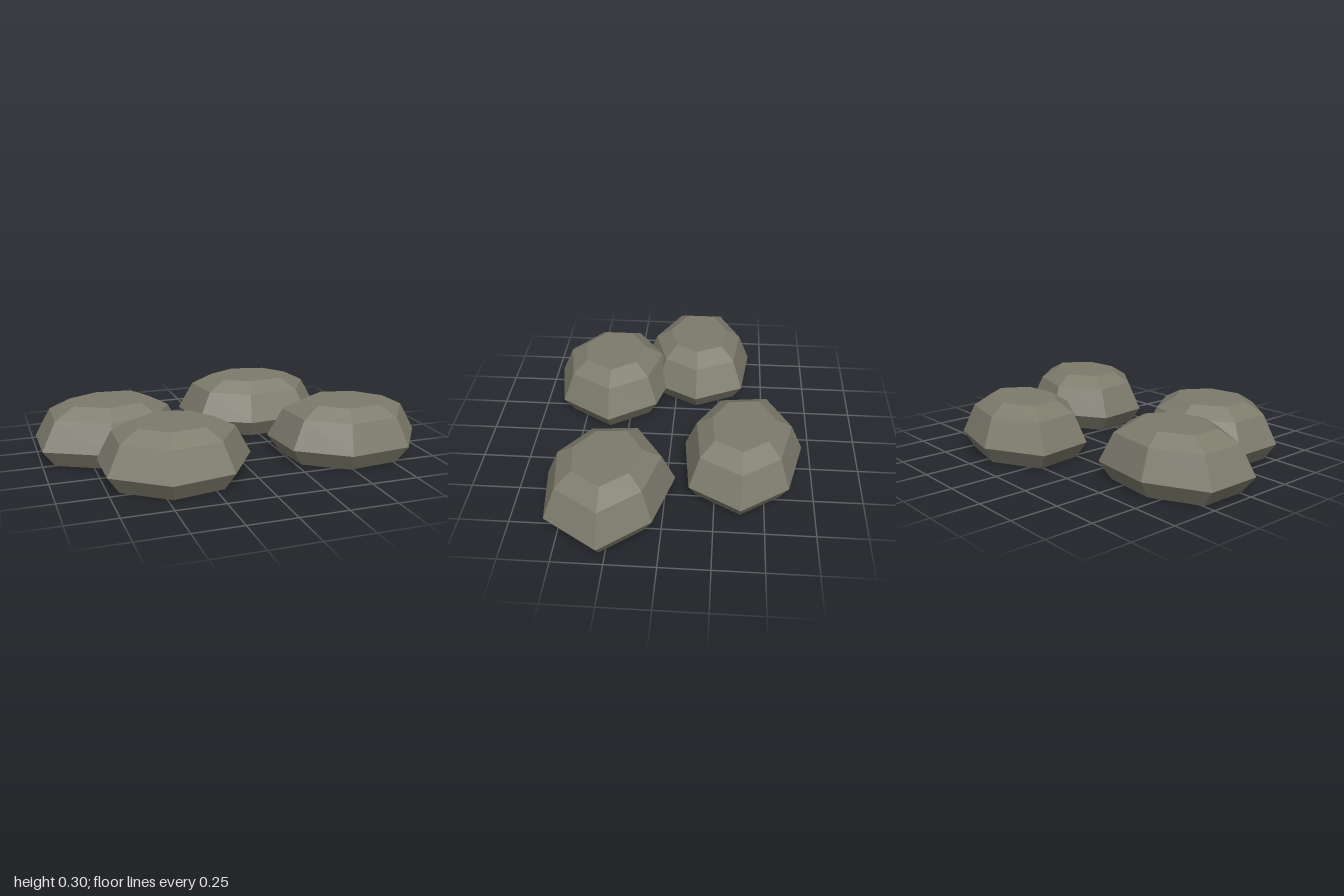
import * as THREE from 'three';

// Rings of every stone, bottom to top: [height, scale of the outline]
const RINGS = [[0, 0.83], [0.09, 1], [0.24, 0.8], [0.297, 0.53]];

// Widest outline of each stone as [x, z], clockwise seen from above
const STONES = {
  backLeftStone: [[-1, 0.03], [-1, -0.27], [-0.7, -0.42], [-0.35, -0.38], [-0.22, -0.12], [-0.35, 0.11], [-0.67, 0.2]],
  frontLeftStone: [[-0.755, 0.49], [-0.755, 0.21], [-0.47, 0.02], [-0.16, 0.1], [0.01, 0.355], [-0.165, 0.63], [-0.49, 0.69]],
  backRightStone: [[-0.08, -0.235], [-0.12, -0.54], [0.18, -0.7], [0.52, -0.62], [0.695, -0.38], [0.54, -0.12], [0.18, -0.085]],
  frontRightStone: [[0.22, 0.42], [0.19, 0.13], [0.47, -0.05], [0.8, 0.04], [1, 0.28], [0.81, 0.56], [0.47, 0.6]],
};

// Faceted stone: scaled copies of one outline, joined and capped
function stoneGeometry(outline) {
  const n = outline.length;
  const cx = outline.reduce((s, p) => s + p[0], 0) / n;
  const cz = outline.reduce((s, p) => s + p[1], 0) / n;
  const positions = [];
  const index = [];
  for (const [y, k] of RINGS) {
    for (const [x, z] of outline) positions.push(cx + (x - cx) * k, y, cz + (z - cz) * k);
  }
  const bottom = RINGS.length * n;
  const top = bottom + 1;
  positions.push(cx, 0, cz, cx, RINGS[RINGS.length - 1][0], cz);

  for (let i = 0; i < n; i++) {
    const j = (i + 1) % n;
    // Sloping sides
    for (let r = 0; r < RINGS.length - 1; r++) {
      const a = r * n + i, b = r * n + j, c = b + n, d = a + n;
      index.push(a, d, c, a, c, b);
    }
    // Flat underside and top
    const last = (RINGS.length - 1) * n;
    index.push(bottom, i, j, top, last + j, last + i);
  }

  const geometry = new THREE.BufferGeometry();
  geometry.setAttribute('position', new THREE.Float32BufferAttribute(positions, 3));
  geometry.setIndex(index);
  const flat = geometry.toNonIndexed();
  flat.computeVertexNormals();
  return flat;
}

export function createModel() {
  const group = new THREE.Group();
  group.name = 'steppingStones';
  const material = new THREE.MeshStandardMaterial({ color: 0x7d7b6c, flatShading: true });
  for (const [name, outline] of Object.entries(STONES)) {
    const stone = new THREE.Mesh(stoneGeometry(outline), material);
    stone.name = name;
    group.add(stone);
  }
  return group;
}
